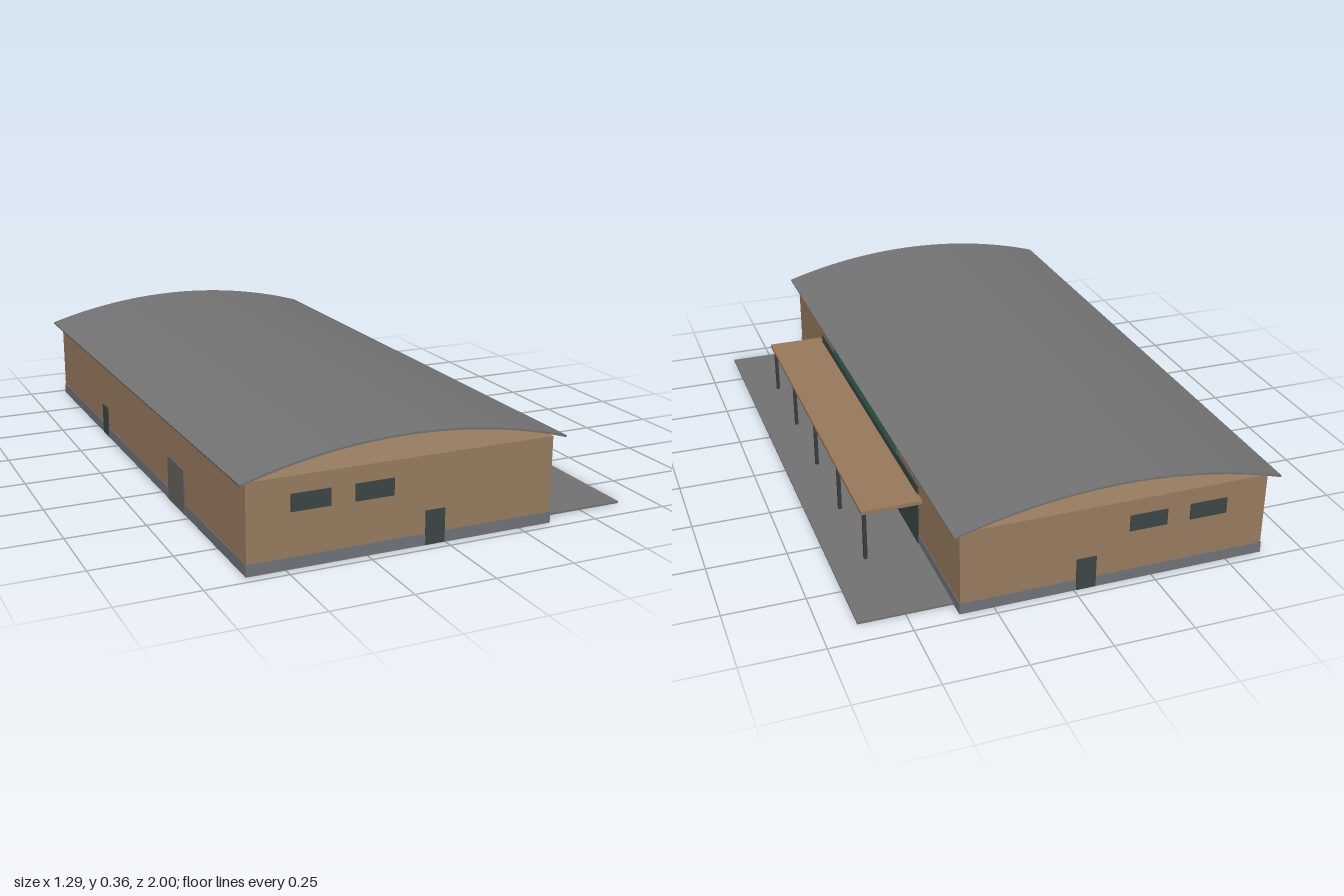
import * as THREE from 'three';

const mat = (name, color) => {
  const m = new THREE.MeshStandardMaterial({ color });
  m.name = name;
  return m;
};

export function createModel() {
  const model = new THREE.Group();
  model.name = 'marketHall';

  const wall = mat('tan wall', 0x9a7d60);
  const timber = mat('canopy tan', 0x9a7a5c);
  const roofGrey = mat('roof grey', 0x747474);
  const plinthGrey = mat('plinth grey', 0x72747a);
  const paving = mat('paving grey', 0x737373);
  const glass = mat('dark glass', 0x3c4646);
  const steel = mat('dark steel', 0x3c3c3e);
  const gateGrey = mat('gate grey', 0x686460);
  const green = mat('sign green', 0x3a6a58);

  // Box given by its lower and upper limits on each axis
  const box = (name, material, [x0, x1], [y0, y1], [z0, z1]) => {
    const mesh = new THREE.Mesh(new THREE.BoxGeometry(x1 - x0, y1 - y0, z1 - z0), material);
    mesh.position.set((x0 + x1) / 2, (y0 + y1) / 2, (z0 + z1) / 2);
    mesh.name = name;
    model.add(mesh);
    return mesh;
  };

  const L = -0.617, R = 0.354, Z = 0.97;

  // Hall body and the plinth around its foot
  box('hallWalls', wall, [L, R], [0, 0.273], [-Z, Z]);
  box('plinth', plinthGrey, [L - 0.002, R + 0.002], [0.001, 0.037], [-Z - 0.002, Z + 0.002]);

  // Thin arched roof sheet, open at both ends
  const radius = 1.744, half = 0.2983, thick = 0.006;
  const arc = new THREE.Shape();
  arc.absarc(0, 0, radius, Math.PI / 2 - half, Math.PI / 2 + half, false);
  arc.absarc(0, 0, radius - thick, Math.PI / 2 + half, Math.PI / 2 - half, true);
  arc.closePath();
  const roof = new THREE.Mesh(
    new THREE.ExtrudeGeometry(arc, { depth: 2, bevelEnabled: false, curveSegments: 24 }), roofGrey);
  roof.position.set(-0.1325, 0.358 - radius, -1);
  roof.name = 'archedRoof';
  model.add(roof);

  // Windows and door on both gable ends
  for (const s of [1, -1]) {
    const z = s > 0 ? [Z, Z + 0.004] : [-Z - 0.004, -Z];
    box('gableWindow', glass, [-0.485, -0.365], [0.17, 0.222], z);
    box('gableWindow', glass, [-0.29, -0.17], [0.17, 0.222], z);
    box('gableDoor', glass, [-0.067, -0.005], [0.002, 0.107], z);
  }

  // Service side: small door and roller gate
  box('serviceDoor', glass, [L - 0.004, L], [0.002, 0.107], [-0.415, -0.353]);
  box('rollerGate', gateGrey, [L - 0.004, L], [0.002, 0.145], [0.32, 0.47]);

  // Entrance side: shopfront, sign board, forecourt
  box('shopfrontGlazing', glass, [R, R + 0.004], [0.002, 0.21], [-0.59, 0.59]);
  box('signBoard', green, [R, R + 0.009], [0.217, 0.272], [-0.39, 0.39]);
  box('forecourt', paving, [R, 0.643], [0, 0.006], [-0.92, 0.92]);

  // Canopy on five posts
  box('canopy', timber, [R, 0.546], [0.171, 0.183], [-0.63, 0.63]);
  for (let i = -2; i <= 2; i++) {
    const z = i * 0.306;
    box('canopyPost', steel, [0.527, 0.538], [0.006, 0.171], [z - 0.0055, z + 0.0055]);
  }

  return model;
}
